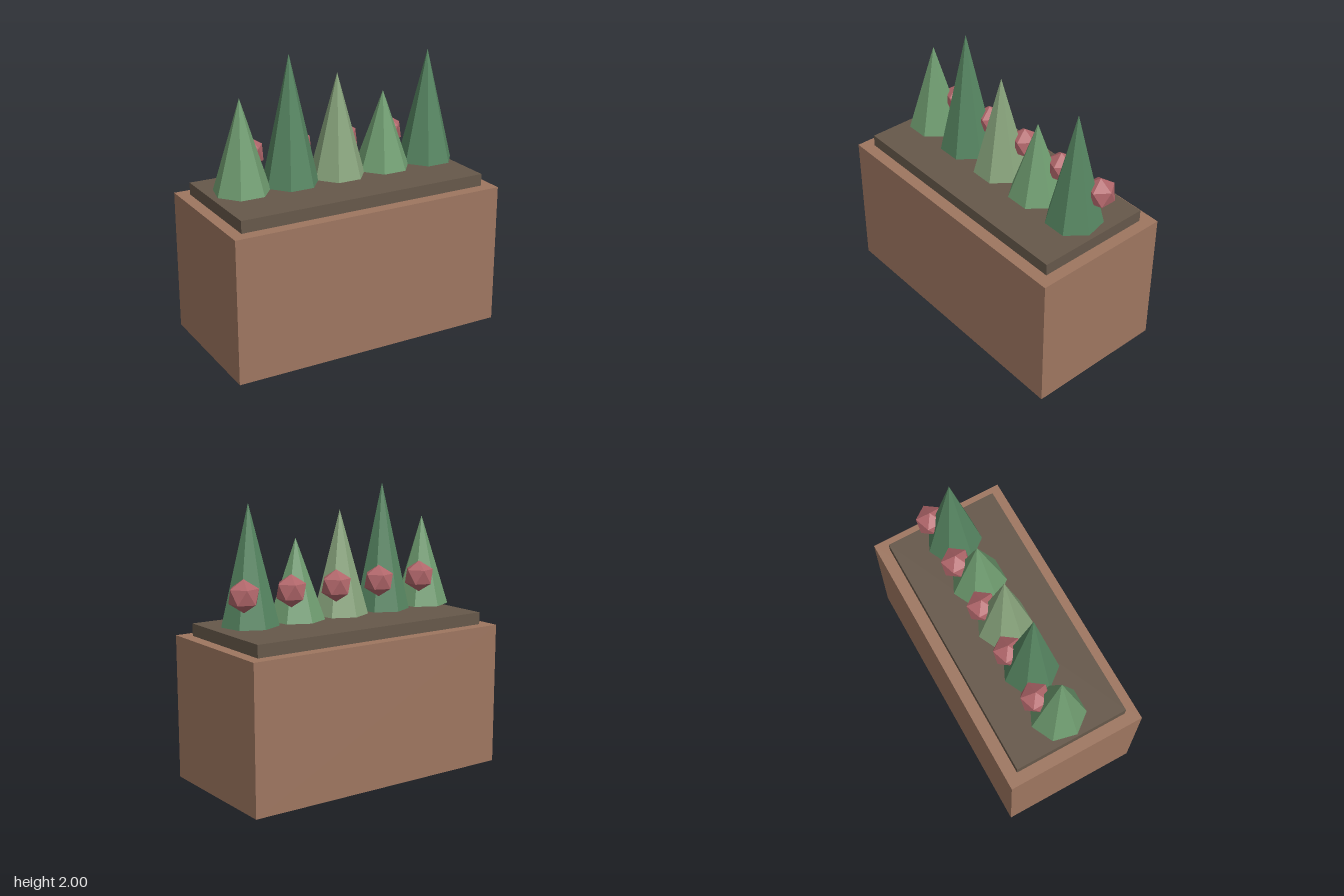
import * as THREE from 'three';

const material = (color) => new THREE.MeshStandardMaterial({ color, flatShading: true });

function addMesh(parent, name, geometry, mat, x, y, z) {
  const mesh = new THREE.Mesh(geometry, mat);
  mesh.name = name;
  mesh.position.set(x, y, z);
  parent.add(mesh);
  return mesh;
}

export function createModel() {
  const model = new THREE.Group();
  model.name = 'planterWithShrubs';

  // Planter box and the raised bed of soil on it
  addMesh(model, 'planterBox', new THREE.BoxGeometry(2, 1, 1), material(0x9e7660), 0, 0.5, 0);
  addMesh(model, 'soil', new THREE.BoxGeometry(1.836, 0.095, 0.83), material(0x66584a), 0, 1.0375, 0);

  // Row of seven-sided conical shrubs, each with a berry behind its left side
  const greens = [0x6f9c70, 0x568561, 0x88a47c].map(material);
  const berryMaterial = material(0xb0666a);
  const baseY = 1.117, spacing = 0.36, radius = 0.195;
  const heights = [0.63, 0.88, 0.713, 0.547, 0.795];

  // Berry turned so that one corner points straight up
  const berryGeometry = new THREE.IcosahedronGeometry(0.11, 0).rotateZ(-0.5536);

  heights.forEach((height, i) => {
    const plant = new THREE.Group();
    plant.name = `plant${i + 1}`;
    plant.position.set((i - 2) * spacing, baseY, 0);
    const cone = new THREE.ConeGeometry(radius, height, 7).rotateY(Math.PI);
    addMesh(plant, 'shrub', cone, greens[i % 3], 0, height / 2, 0);
    addMesh(plant, 'berry', berryGeometry, berryMaterial, 0.11, 0.218, -0.112);
    model.add(plant);
  });

  return model;
}
